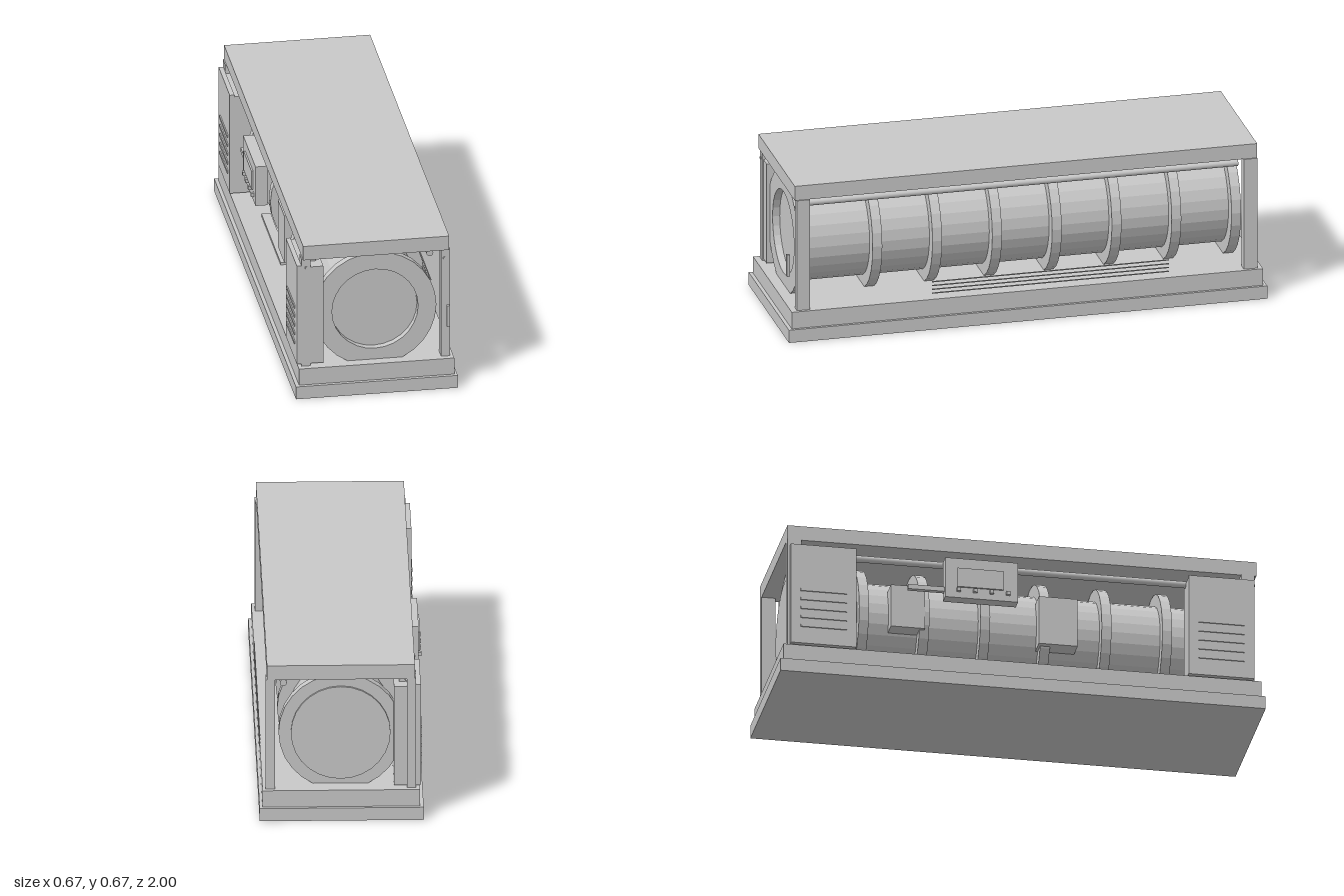
import * as THREE from 'three';

const steel = new THREE.MeshStandardMaterial({ color: 0xc8c8c8 });
steel.name = 'plain grey';

export function createModel() {
  const model = new THREE.Group();
  model.name = 'skidMachine';

  const add = (name, geometry, parent = model) => {
    const mesh = new THREE.Mesh(geometry, steel);
    mesh.name = name;
    parent.add(mesh);
    return mesh;
  };
  // Box given by its limits on each axis
  const box = (name, x0, x1, y0, y1, z0, z1, parent = model) => {
    const mesh = add(name, new THREE.BoxGeometry(x1 - x0, y1 - y0, z1 - z0), parent);
    mesh.position.set((x0 + x1) / 2, (y0 + y1) / 2, (z0 + z1) / 2);
    return mesh;
  };

  // Stepped base and roof slab
  box('basePlinth', -0.33, 0.335, 0, 0.055, -1, 1);
  box('baseFrame', -0.315, 0.323, 0.055, 0.127, -0.985, 0.985);
  box('roof', -0.295, 0.305, 0.605, 0.667, -0.965, 0.968);

  // Corner posts with small latches
  for (const side of [-1, 1]) {
    const [x0, x1] = side < 0 ? [-0.3, -0.263] : [0.273, 0.31];
    box('frontPost', x0, x1, 0.127, 0.605, 0.905, 0.96);
    box('backPost', x0, x1, 0.127, 0.605, -0.965, -0.908);
    const lx = side < 0 ? -0.282 : 0.285;
    box('postLatch', lx - 0.004, lx + 0.004, 0.564, 0.572, 0.96, 0.965);
  }
  box('frontHandle', 0.29, 0.303, 0.275, 0.37, 0.988, 1);

  // Faceted drum lying along z, recessed at the front
  const SIDES = 28;
  const drum = new THREE.Group();
  drum.name = 'drum';
  drum.position.set(0.005, 0.352, 0);
  model.add(drum);
  const lathe = (name, points) => {
    const profile = points.map(([r, z]) => new THREE.Vector2(r, z));
    const geometry = new THREE.LatheGeometry(profile, SIDES).toNonIndexed();
    geometry.computeVertexNormals();
    geometry.rotateX(Math.PI / 2);
    add(name, geometry, drum);
  };
  lathe('drumShell', [[0, -0.92], [0.202, -0.92], [0.202, 0.91], [0, 0.91]]);
  lathe('frontCollar', [[0.177, 0.905], [0.252, 0.905], [0.252, 0.94], [0.177, 0.94], [0.177, 0.905]]);

  // Stiffening rings around the drum
  for (let i = 0; i < 7; i++) {
    const z = 0.61 - i * 0.25;
    lathe('drumRing', [[0.19, z - 0.02], [0.252, z - 0.02], [0.252, z + 0.02], [0.19, z + 0.02]]);
  }

  // Pipes under the roof
  for (const x of [0.237, -0.245]) {
    const pipe = add('roofPipe', new THREE.CylinderGeometry(0.014, 0.014, 1.8, 20));
    pipe.rotation.x = Math.PI / 2;
    pipe.position.set(x, 0.565, 0);
  }

  // Louvred cabinets at both ends of one side
  for (const [z0, z1] of [[-0.955, -0.685], [0.685, 0.955]]) {
    const cabinet = new THREE.Group();
    cabinet.name = 'cabinet';
    model.add(cabinet);
    box('cabinetBody', -0.3, -0.21, 0.135, 0.567, z0, z1, cabinet);
    box('cabinetDoor', -0.319, -0.3, 0.135, 0.575, z0, z1, cabinet);
    for (let i = 0; i < 5; i++) {
      const y = 0.213 + i * 0.04;
      box('cabinetLouvre', -0.324, -0.319, y - 0.006, y + 0.006, z0 + 0.04, z1 - 0.04, cabinet);
    }
  }

  // Control box with screen, knobs and support arm
  const control = new THREE.Group();
  control.name = 'controlBox';
  model.add(control);
  box('controlBody', -0.325, -0.275, 0.39, 0.565, -0.32, -0.02, control);
  box('controlScreen', -0.332, -0.325, 0.437, 0.52, -0.27, -0.08, control);
  for (let i = 0; i < 4; i++) {
    const z = -0.265 + i * 0.068;
    box('controlKnob', -0.338, -0.325, 0.416, 0.431, z - 0.008, z + 0.008, control);
  }
  box('controlArm', -0.31, -0.29, 0.42, 0.44, -0.47, -0.32, control);

  // Junction boxes against the drum
  box('junctionBoxBack', -0.25, -0.17, 0.275, 0.46, -0.53, -0.39);
  box('junctionBoxFront', -0.25, -0.17, 0.25, 0.46, 0.08, 0.24);

  // Cable tray on the base
  box('cableTray', -0.225, -0.187, 0.127, 0.137, -0.47, 0);

  // Row of thin slats on the open side
  for (let i = 0; i < 4; i++) {
    const y = 0.155 + i * 0.0165;
    box('sideSlat', 0.323, 0.327, y - 0.002, y + 0.002, -0.59, 0.4);
  }
  return model;
}
